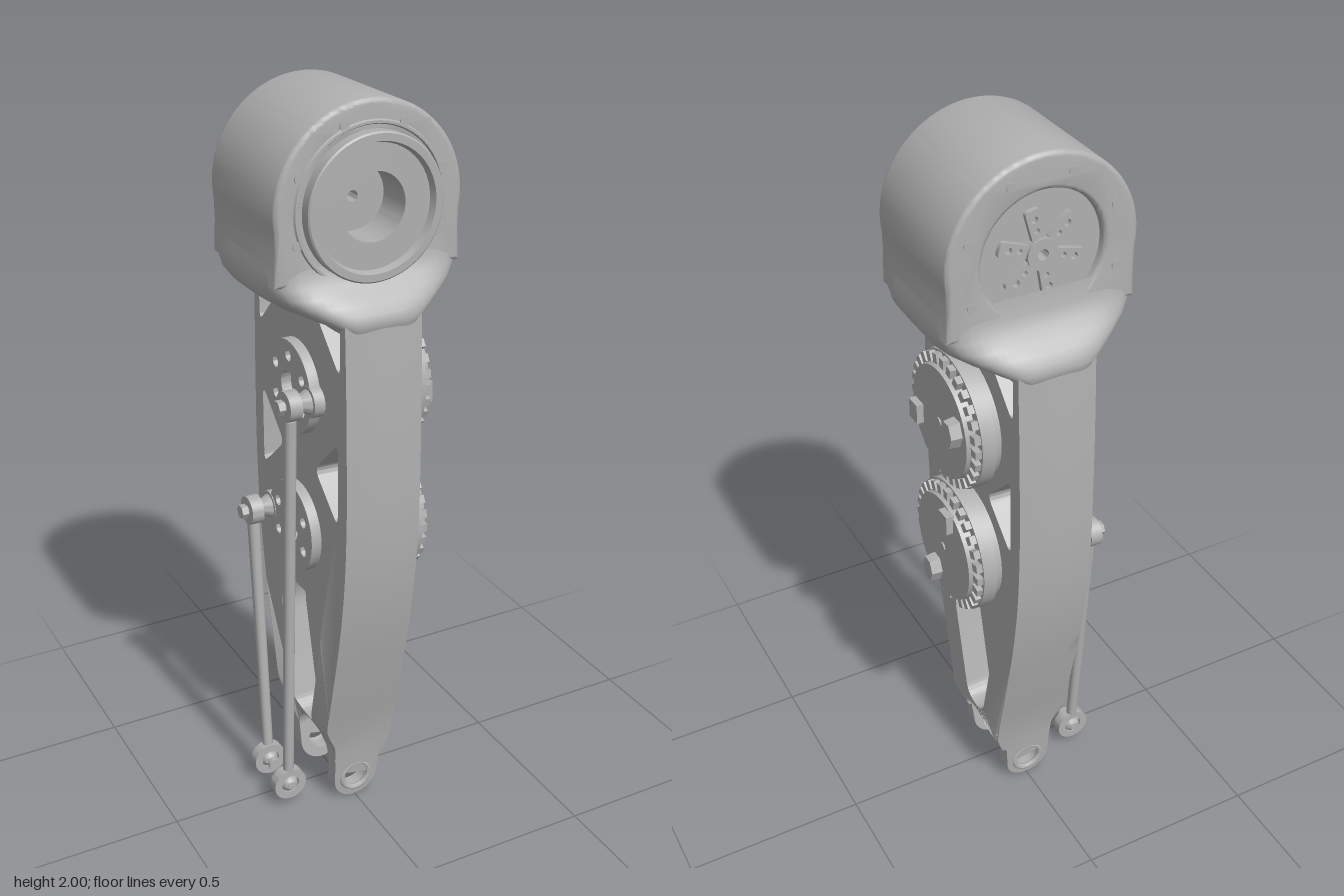
import * as THREE from 'three';
import { toCreasedNormals } from 'three/addons/utils/BufferGeometryUtils.js';

const grey = new THREE.MeshStandardMaterial({ color: 0xb0b0b0 });
grey.name = 'machined grey';

export function createModel() {
  const model = new THREE.Group();
  model.name = 'robotLeg';

  const add = (name, geo, parent = model, crease = 0.6) => {
    const m = new THREE.Mesh(toCreasedNormals(geo, crease), grey);
    m.name = name;
    parent.add(m);
    return m;
  };
  // Cylinder along x from x0 to x1
  const cylX = (r0, r1, x0, x1, y, z, seg = 40) =>
    new THREE.CylinderGeometry(r1, r0, x1 - x0, seg).rotateZ(-Math.PI / 2).translate((x0 + x1) / 2, y, z);
  const cylZ = (r, z0, z1, x, y, seg = 20) =>
    new THREE.CylinderGeometry(r, r, z1 - z0, seg).rotateX(Math.PI / 2).translate(x, y, (z0 + z1) / 2);
  const box = (w, h, d, x, y, z) => new THREE.BoxGeometry(w, h, d).translate(x, y, z);
  const circle = (x, y, r) => new THREE.Path().absarc(x, y, r, 0, Math.PI * 2, true);
  const extrude = (shape, depth, steps = 1) =>
    new THREE.ExtrudeGeometry(shape, { depth, steps, bevelEnabled: false, curveSegments: 20 });
  // Closed path with rounded corners
  const roundedPoly = (pts, r) => {
    const v = pts.map(p => new THREE.Vector2(...p)), path = new THREE.Path(), n = v.length;
    v.forEach((p, i) => {
      const toward = q => p.clone().add(q.clone().sub(p).setLength(r));
      const a = toward(v[(i + n - 1) % n]), b = toward(v[(i + 1) % n]);
      if (i) path.lineTo(a.x, a.y); else path.moveTo(a.x, a.y);
      path.quadraticCurveTo(p.x, p.y, b.x, b.y);
    });
    path.closePath();
    return path;
  };

  // Leg beam: side outline extruded across x, with pockets and a fork arch
  const edge = new THREE.SplineCurve([[0.133, 0.14], [0.14, 0.2], [0.155, 0.28], [0.183, 0.4], [0.226, 0.6],
    [0.252, 0.78], [0.262, 0.95], [0.262, 1.1], [0.258, 1.3], [0.25, 1.5]].map(p => new THREE.Vector2(...p))).getPoints(40);
  const side = new THREE.Shape([...edge, ...edge.map(p => new THREE.Vector2(-p.x, p.y)).reverse()]);
  side.absellipse(0, 0.13, 0.09, 0.08, Math.PI, 0, true);
  side.holes.push(roundedPoly([[-0.045, 0.225], [0.045, 0.225], [0.122, 0.56], [0.08, 0.655], [-0.08, 0.655], [-0.122, 0.56]], 0.043));
  for (const s of [1, -1]) {
    side.holes.push(roundedPoly([[s * 0.09, 1.485], [s * 0.225, 1.485], [s * 0.225, 1.35]], 0.03));
    side.holes.push(roundedPoly([[s * 0.215, 1.17], [s * 0.215, 0.94], [s * 0.09, 1.05]], 0.03));
  }
  const beam = extrude(side, 0.21, 6).translate(0, 0, -0.105).rotateY(-Math.PI / 2);
  const bp = beam.attributes.position;
  for (let i = 0; i < bp.count; i++) {
    const x = bp.getX(i), y = bp.getY(i), t = x / 0.105;
    const taper = x < 0 ? THREE.MathUtils.smoothstep(y, 0.17, 0.28) : THREE.MathUtils.smoothstep(y, 0.08, 0.21);
    bp.setX(i, x * (0.66 + 0.34 * taper));
    bp.setZ(i, bp.getZ(i) * (1.04 - 0.04 * t * t));
  }
  add('legBeam', beam);
  add('upperWeb', box(0.06, 0.56, 0.46, 0, 1.21, 0));
  add('lowerWeb', box(0.06, 0.46, 0.25, 0, 0.445, 0));

  // Fork prongs with ankle eyes
  for (const s of [1, -1]) {
    const foot = new THREE.Shape();
    foot.moveTo(-0.066, 0.066);
    foot.absarc(0, 0.066, 0.066, Math.PI, Math.PI * 2, false);
    foot.lineTo(0.072, 0.13);
    foot.lineTo(0.09, 0.18);
    foot.lineTo(-0.07, 0.18);
    foot.closePath();
    foot.holes.push(circle(0, 0.07, 0.04));
    const g = extrude(foot, 0.042).translate(0, 0, s > 0 ? 0.088 : -0.13), p = g.attributes.position;
    for (let i = 0; i < p.count; i++) p.setZ(i, p.getZ(i) + s * (p.getY(i) - 0.1) * 0.1);
    add('forkProng', g);
    add('ankleBushing', new THREE.TorusGeometry(0.042, 0.008, 8, 32).translate(0, 0.07, s * 0.124));
  }

  // Flared collar between beam and hip, lofted from superellipses
  const sections = [[1.46, 0.103, 0.255, 8], [1.475, 0.118, 0.262, 6], [1.49, 0.16, 0.264, 4], [1.51, 0.208, 0.258, 3.2],
    [1.53, 0.238, 0.242, 3.4], [1.55, 0.251, 0.218, 4.5], [1.575, 0.254, 0.195, 7], [1.61, 0.25, 0.181, 12], [1.66, 0.244, 0.176, 16]];
  const N = 96, pos = [], idx = [];
  sections.forEach(([y, hx, hz, n], k) => {
    for (let i = 0; i < N; i++) {
      const a = i / N * Math.PI * 2, c = Math.cos(a), s = Math.sin(a);
      const r = Math.pow(Math.abs(c) ** n + Math.abs(s) ** n, -1 / n);
      pos.push(hx * c * r, y, hz * s * r);
      if (!k) continue;
      const j = (i + 1) % N, lo = (k - 1) * N, up = k * N;
      idx.push(lo + i, up + i, lo + j, lo + j, up + i, up + j);
    }
  });
  const collar = new THREE.BufferGeometry();
  collar.setAttribute('position', new THREE.Float32BufferAttribute(pos, 3));
  collar.setIndex(idx);
  add('hipCollar', collar, model, 1);

  // Hip housing: round-topped block with a bore along z
  const hip = new THREE.Group();
  hip.name = 'hip';
  model.add(hip);
  const arch = new THREE.Shape();
  arch.moveTo(0.25, 1.58);
  arch.lineTo(0.246, 1.66);
  arch.absarc(0, 1.75, 0.25, -0.15, Math.PI + 0.15, false);
  arch.lineTo(-0.246, 1.66);
  arch.lineTo(-0.25, 1.58);
  arch.closePath();
  arch.holes.push(circle(0, 1.75, 0.16));
  add('hipHousing', new THREE.ExtrudeGeometry(arch, { depth: 0.336, bevelThickness: 0.012, bevelSize: 0.012, bevelOffset: -0.012,
    bevelSegments: 3, curveSegments: 40 }).translate(0, 0, -0.168), hip);

  // Hip motor: stepped face at the front, sunken floor at the back
  const profile = [[0.014, -0.155], [0.168, -0.155], [0.168, 0.17], [0.18, 0.17], [0.18, 0.21], [0.176, 0.214], [0.158, 0.214],
    [0.152, 0.195], [0.085, 0.195], [0.085, 0.09], [0.014, 0.09], [0.014, -0.155]].map(p => new THREE.Vector2(...p));
  add('hipMotor', new THREE.LatheGeometry(profile, 64).rotateX(Math.PI / 2).translate(0, 1.75, 0), hip);
  add('hipFrontRing', new THREE.TorusGeometry(0.196, 0.006, 6, 64).translate(0, 1.75, 0.18), hip);

  // Output star and bolts
  const hub = new THREE.Shape().absarc(0, 1.75, 0.04, 0, Math.PI * 2, false);
  hub.holes.push(circle(0, 1.75, 0.014));
  add('starHub', extrude(hub, 0.022).translate(0, 0, -0.175), hip);
  for (let i = 0; i < 6; i++) {
    const arm = new THREE.Shape(roundedPoly([[0.03, -0.016], [0.115, -0.02], [0.115, 0.02], [0.03, 0.016]], 0.012).getPoints(6));
    arm.holes.push(circle(0.09, 0, 0.009), circle(0.06, 0, 0.007));
    add('starArm', extrude(arm, 0.015).rotateZ(i * Math.PI / 3 + 0.3).translate(0, 1.75, -0.168), hip);
  }
  for (let i = 0; i < 8; i++) {
    const a = (i + 0.45) * Math.PI / 4, x = 0.206 * Math.cos(a), y = 1.75 + 0.206 * Math.sin(a);
    add('hipBolt', cylZ(0.012, -0.183, -0.17, x, y), hip);
    add('hipBolt', cylZ(0.012, 0.17, 0.184, x, y), hip);
  }

  // Two drive units with cranks and push rods
  const drives = [
    { y: 1.25, pinZ: 0.11, endZ: 0.065, square: [1.22, 0.115], tall: [1.28, -0.1] },
    { y: 0.85, pinZ: -0.13, endZ: -0.065, square: [0.965, -0.04], tall: [0.755, 0.04] },
  ];
  for (const { y, pinZ, endZ, square, tall } of drives) {
    const unit = new THREE.Group();
    unit.name = 'driveUnit';
    model.add(unit);
    add('motorBase', cylX(0.168, 0.168, 0.1, 0.13, y, 0, 64), unit);
    add('motorRim', cylX(0.184, 0.184, 0.126, 0.165, y, 0, 64), unit);
    add('motorCap', cylX(0.155, 0.15, 0.16, 0.192, y, 0, 64), unit);
    add('shaftTip', cylX(0.012, 0.012, 0.19, 0.196, y, 0, 16), unit);
    for (let i = 0; i < 28; i++)
      add('rimTooth', box(0.02, 0.026, 0.022, 0, 0.166, 0).rotateX(i / 28 * Math.PI * 2).translate(0.172, y, 0), unit);
    add('squareConnector', box(0.022, 0.055, 0.045, 0.2, ...square), unit);
    add('tallConnector', cylX(0.042, 0.038, 0.19, 0.222, 0, 0, 6).scale(1, 1, 0.75).translate(0, ...tall), unit);

    // Crank disc with bolt holes, on the opposite side
    const disc = new THREE.Shape().absarc(0, 0, 0.125, 0, Math.PI * 2, false);
    disc.holes.push(circle(0, 0, 0.042));
    for (let i = 0; i < 6; i++) {
      const a = (i + 0.5) * Math.PI / 3;
      disc.holes.push(circle(0.085 * Math.cos(a), 0.085 * Math.sin(a), 0.015));
    }
    add('crankDisc', extrude(disc, 0.03).rotateY(-Math.PI / 2).translate(-0.103, y, 0), unit);
    add('crankEar', cylX(0.042, 0.042, -0.135, -0.106, y, pinZ, 24), unit);
    add('crankSpacer', cylX(0.018, 0.034, -0.166, -0.132, y, pinZ, 24), unit);
    add('crankPin', cylX(0.016, 0.016, -0.216, -0.13, y, pinZ, 16), unit);
    add('pinNut', cylX(0.02, 0.02, -0.22, -0.203, y, pinZ, 6), unit);

    // Push rod down to the ankle
    const top = new THREE.Vector3(-0.183, y, pinZ), end = new THREE.Vector3(-0.183, 0.07, endZ);
    add('rodTopEye', cylX(0.04, 0.04, -0.2, -0.166, y, pinZ, 28), unit);
    const dir = top.clone().sub(end), len = dir.length();
    const rod = add('pushRod', new THREE.CylinderGeometry(0.017, 0.015, len - 0.08, 16), unit);
    rod.position.copy(top).add(end).multiplyScalar(0.5);
    rod.quaternion.setFromUnitVectors(new THREE.Vector3(0, 1, 0), dir.normalize());
    const eye = new THREE.Shape().absarc(-0.183, 0.07, 0.048, 0, Math.PI * 2, false);
    eye.holes.push(circle(-0.183, 0.07, 0.026));
    add('rodEndEye', extrude(eye, 0.03).translate(0, 0, endZ - 0.015), unit);
    const s = Math.sign(endZ);
    add('rodEndPin', cylZ(0.012, Math.min(s * 0.03, s * 0.09), Math.max(s * 0.03, s * 0.09), -0.183, 0.07), unit);
    add('rodEndBall', new THREE.SphereGeometry(0.026, 20, 12).translate(-0.183, 0.07, endZ), unit);
    add('rodEndPinHead', cylZ(0.018, s * 0.025 - 0.006, s * 0.025 + 0.006, -0.183, 0.07), unit);
  }
  return model;
}
